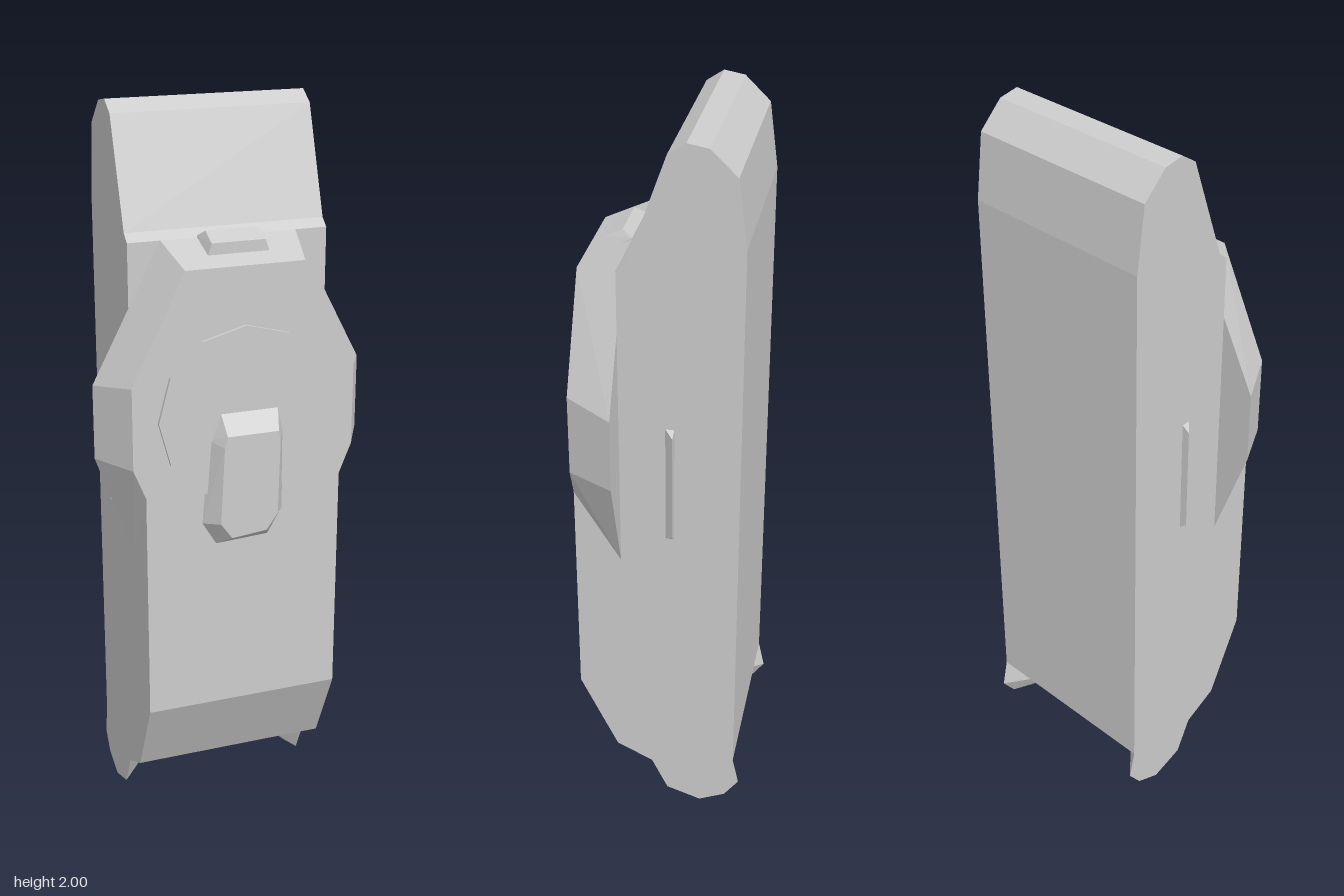
import * as THREE from 'three';
import { ConvexGeometry } from 'three/addons/geometries/ConvexGeometry.js';

const material = new THREE.MeshStandardMaterial({ color: 0xcccccc, flatShading: true });

export function createModel() {
  const group = new THREE.Group();
  const add = (name, geometry) => {
    const mesh = new THREE.Mesh(geometry, material);
    mesh.name = name;
    group.add(mesh);
    return mesh;
  };
  // Faceted solid spanning a list of corners
  const solid = (name, points) =>
    add(name, new ConvexGeometry(points.map((p) => new THREE.Vector3(...p))));
  // Both halves of a symmetric set of corners
  const mirrored = (points) => points.flatMap(([x, y, z]) => [[x, y, z], [-x, y, z]]);

  // Body: side profile (z, y) extruded across the width
  const profile = [
    [0.1, 0.18], [0.203, 0.4], [0.203, 1.03], [0.08, 1.15], [0.08, 1.67], [0.055, 1.69],
    [-0.045, 1.97], [-0.09, 2], [-0.145, 1.99], [-0.212, 1.925], [-0.235, 1.75],
    [-0.235, 0.17], [-0.12, 0.07],
  ];
  const shape = new THREE.Shape(profile.map(([z, y]) => new THREE.Vector2(z, y)));
  const body = new THREE.ExtrudeGeometry(shape, { depth: 0.54, bevelEnabled: false });
  body.rotateY(-Math.PI / 2).translate(0.27, 0, 0);
  add('body', body);

  // Bevelled front plate that flares past the sides
  solid('frontPlate', mirrored([
    [0.16, 1.62, 0.203], [0.303, 1.33, 0.203], [0.303, 1.11, 0.203], [0.27, 1.03, 0.203],
    [0.183, 1.67, 0.08], [0.37, 1.31, 0.08], [0.37, 1.11, 0.08], [0.27, 0.83, 0.08],
  ]));

  // Twelve-sided dial
  const dial = new THREE.CylinderGeometry(0.236, 0.236, 0.02, 12);
  dial.rotateX(Math.PI / 2).translate(0, 1.232, 0.203);
  add('dial', dial);

  // Switch lever with bevelled edges
  const leverBase = [
    [-0.07, 1.25], [0.09, 1.25], [0.105, 1.18], [0.105, 0.955], [0.065, 0.885],
    [-0.08, 0.877], [-0.118, 0.94], [-0.1, 1.17],
  ];
  const leverTop = [
    [-0.065, 1.19], [0.075, 1.19], [0.08, 1.16], [0.075, 0.96], [0.045, 0.917],
    [-0.052, 0.907], [-0.083, 0.95], [-0.073, 1.16],
  ];
  solid('switchLever', [
    ...leverBase.map(([x, y]) => [x, y, 0.205]),
    ...leverTop.map(([x, y]) => [x, y, 0.252]),
  ]);

  // Small button on the sloped top of the front plate
  solid('topButton', mirrored([
    [0.084, 1.635, 0.153], [0.084, 1.665, 0.078], [0.084, 1.675, 0.078],
    [0.072, 1.67, 0.153], [0.072, 1.692, 0.105],
  ]));

  const footOutline = [
    [0, 0.13], [-0.045, 0.035], [-0.14, 0.003], [-0.212, 0.035], [-0.252, 0.09], [-0.235, 0.17],
    [-0.1, 0.18],
  ];
  for (const side of [1, -1]) {
    const label = side > 0 ? 'left' : 'right';

    // Corner foot tapering inwards under the body
    solid(label + 'Foot', footOutline.flatMap(([z, y]) => [
      [side * 0.27, y, z],
      [side * 0.2, 0.12 + (y - 0.12) * 0.43, -0.12 + (z + 0.12) * 0.43],
    ]));

    // Thin wedge-shaped side ridge
    solid(label + 'Ridge', [
      [side * 0.265, 0.91, -0.035], [side * 0.265, 1.25, -0.035],
      [side * 0.265, 0.91, -0.064], [side * 0.265, 1.25, -0.064],
      [side * 0.29, 0.93, -0.062], [side * 0.29, 1.23, -0.062],
    ]);
  }
  return group;
}
